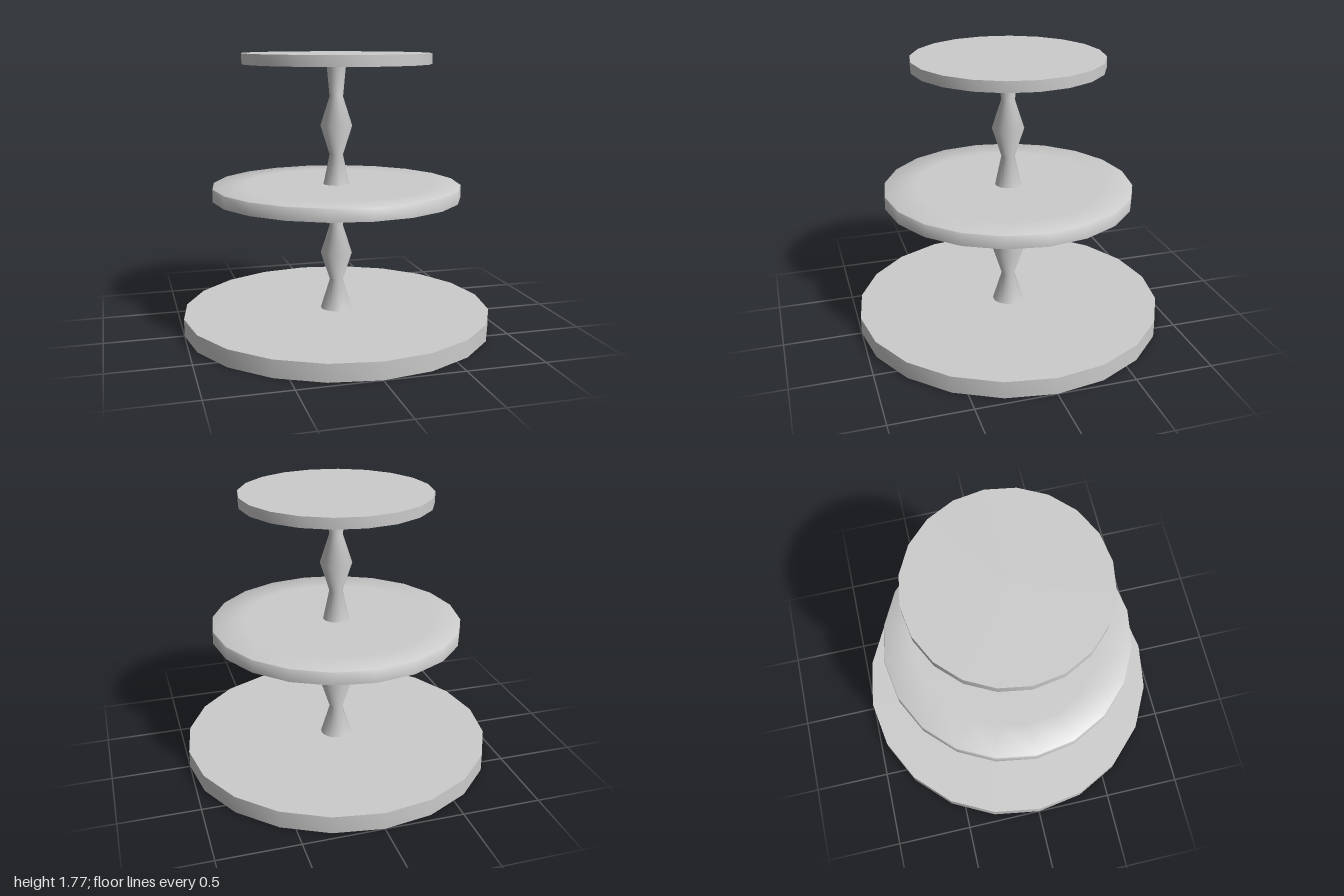
import * as THREE from 'three';
import { toCreasedNormals } from 'three/addons/utils/BufferGeometryUtils.js';

const SIDES = 20;
const grey = new THREE.MeshStandardMaterial({ color: 0xcccccc, side: THREE.DoubleSide });

function lathe(profile) {
  return new THREE.LatheGeometry(profile.map(([r, y]) => new THREE.Vector2(r, y)), SIDES);
}

function part(name, geometry) {
  const mesh = new THREE.Mesh(geometry, grey);
  mesh.name = name;
  return mesh;
}

export function createModel() {
  const stand = new THREE.Group();
  stand.name = 'tieredStand';

  // Base: a shell open underneath, with the hollow column's opening in its top
  stand.add(part('basePlate', toCreasedNormals(
    lathe([[1, 0], [1, 0.11], [0.102, 0.11]]), 0.6)));

  // Middle plate: sharp below, smoothly rounded at the upper rim
  stand.add(part('middlePlate', toCreasedNormals(
    lathe([[0, 0.857], [0.8, 0.857], [0.8, 0.935], [0.796, 0.939], [0.6, 0.939], [0, 0.939]]), 1)));

  // Top plate
  stand.add(part('topPlate', toCreasedNormals(
    lathe([[0, 1.706], [0.602, 1.706], [0.602, 1.773], [0, 1.773]]), 0.6)));

  // Hollow turned columns between the plates
  stand.add(part('lowerColumn',
    lathe([[0.102, 0.11], [0.043, 0.3], [0.102, 0.482], [0.043, 0.667], [0.083, 0.857]])));
  stand.add(part('upperColumn',
    lathe([[0.083, 0.939], [0.043, 1.13], [0.102, 1.316], [0.043, 1.5], [0.062, 1.706]])));

  return stand;
}
